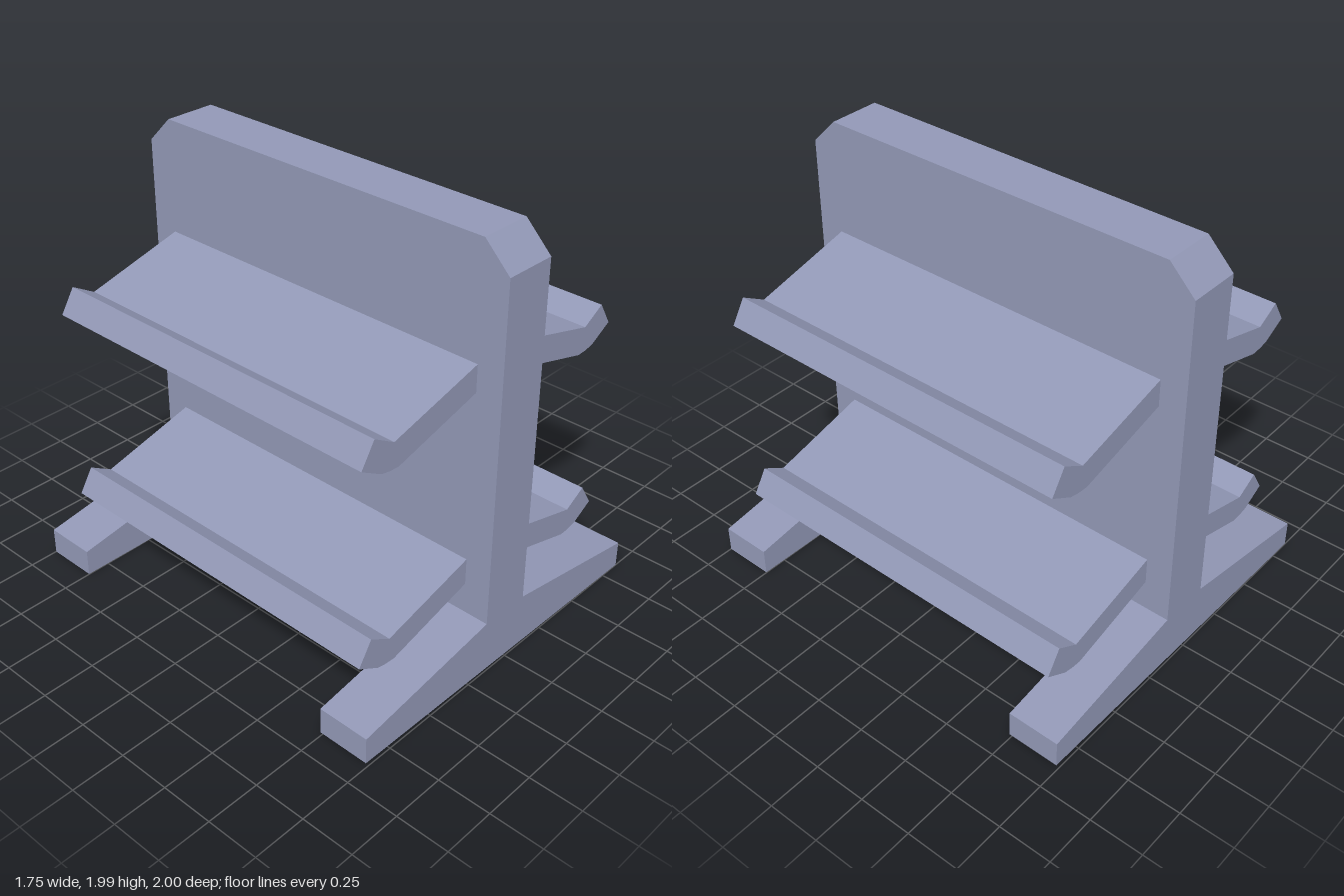
import * as THREE from 'three';

const slate = new THREE.MeshStandardMaterial({ color: 0x9298b6 });
slate.name = 'slate blue';

// Extrude a flat outline, centred on z = 0
function prism(name, points, depth) {
  const shape = new THREE.Shape(points.map(([x, y]) => new THREE.Vector2(x, y)));
  const geometry = new THREE.ExtrudeGeometry(shape, { depth, bevelEnabled: false });
  geometry.translate(0, 0, -depth / 2);
  const mesh = new THREE.Mesh(geometry, slate);
  mesh.name = name;
  return mesh;
}

const HALF_LENGTH = 0.992;
const HEIGHT = 1.985;
const HALF_THICK = 0.124;
const CHAMFER = 0.124;
const FOOT_DEPTH = 0.248;

// Upturned shelf section, y measured from the top of its root
const shelfProfile = [
  [HALF_THICK, 0], [0.6, -0.127], [0.709, -0.063], [0.777, -0.172],
  [0.667, -0.235], [0.62, -0.245], [0.57, -0.248], [HALF_THICK, -0.127],
];
const footProfile = [[HALF_THICK, 0], [0.868, 0], [0.868, 0.127], [HALF_THICK, 0.25]];

export function createModel() {
  const rack = new THREE.Group();
  rack.name = 'doubleSidedRack';

  // Upright panel with clipped top corners
  const panel = prism('uprightPanel', [
    [-HALF_LENGTH, 0], [HALF_LENGTH, 0], [HALF_LENGTH, HEIGHT - CHAMFER],
    [HALF_LENGTH - CHAMFER, HEIGHT], [CHAMFER - HALF_LENGTH, HEIGHT],
    [-HALF_LENGTH, HEIGHT - CHAMFER],
  ], HALF_THICK * 2);
  panel.geometry.rotateY(-Math.PI / 2);
  rack.add(panel);

  for (const [side, sx] of [['left', 1], ['right', -1]]) {
    // Two shelves on each side
    for (const [level, y] of [['Lower', 0.523], ['Upper', 1.453]]) {
      const shelf = prism(`${side}${level}Shelf`, shelfProfile.map(([x, h]) => [sx * x, y + h]), 1.736);
      rack.add(shelf);
    }
    // Sloping feet at both ends
    for (const [end, sz] of [['Front', 1], ['Back', -1]]) {
      const foot = prism(`${side}${end}Foot`, footProfile.map(([x, h]) => [sx * x, h]), FOOT_DEPTH);
      foot.position.z = sz * (HALF_LENGTH - FOOT_DEPTH / 2);
      rack.add(foot);
    }
  }

  // The rack stands very slightly turned
  rack.rotation.y = -0.0087;
  const model = new THREE.Group();
  model.name = 'rack';
  model.add(rack);
  return model;
}
